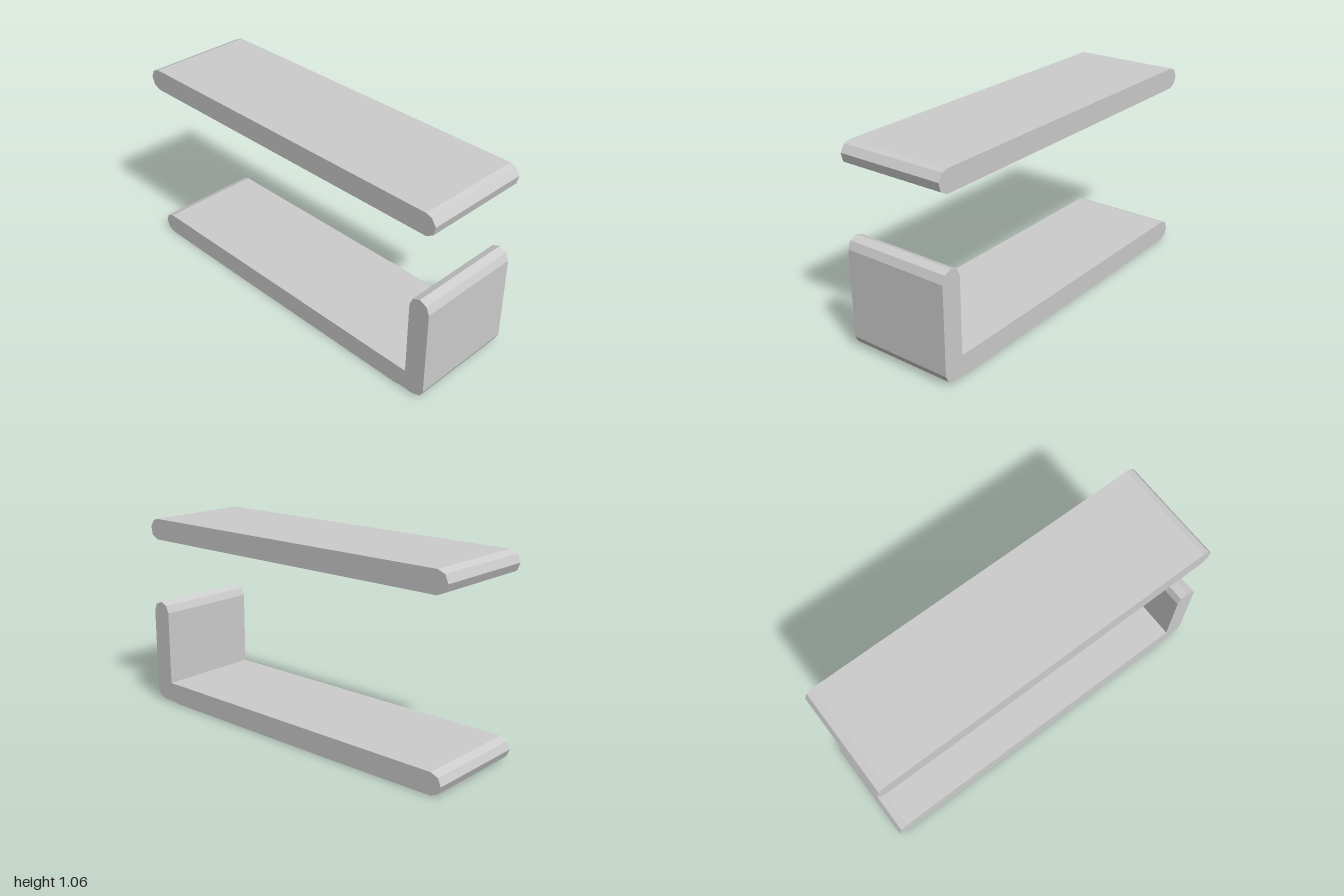
import * as THREE from 'three';

const DEPTH = 0.586;
const R = 0.058; // half the board thickness

// Points on a coarse rounded end, angles in degrees
const arc = (cx, cy, angles) => angles.map((a) => {
  const t = THREE.MathUtils.degToRad(a);
  return new THREE.Vector2(cx + R * Math.cos(t), cy + R * Math.sin(t));
});

function board(name, points, material) {
  const geometry = new THREE.ExtrudeGeometry(new THREE.Shape(points), { depth: DEPTH, bevelEnabled: false });
  geometry.translate(0, 0, -DEPTH / 2);
  const mesh = new THREE.Mesh(geometry, material);
  mesh.name = name;
  return mesh;
}

export function createModel() {
  const grey = new THREE.MeshStandardMaterial({ color: 0xcccccc, flatShading: true });
  grey.name = 'light grey';
  const group = new THREE.Group();
  group.name = 'shelfPair';
  const leftEnd = [90, 135, 180, 225, 270];
  const end = 1 - R;

  // Upper board: flat slab with faceted round ends
  group.add(board('upperShelf', [
    ...arc(-end, 1.003, leftEnd),
    ...arc(end, 1.003, [-82, -37, 10, 56, 90]),
  ], grey));

  // Lower board: slab turning up into an end panel
  group.add(board('lowerShelf', [
    ...arc(-end, 0.06, leftEnd),
    new THREE.Vector2(-0.3, 0),
    new THREE.Vector2(0.83, 0.003),
    new THREE.Vector2(0.86, 0.009),
    new THREE.Vector2(0.94, 0.009),
    new THREE.Vector2(0.983, 0.026),
    new THREE.Vector2(1, 0.06),
    ...arc(end, 0.531, [0, 45, 90, 135, 180]),
    new THREE.Vector2(end - R, 0.118),
  ], grey));

  return group;
}
